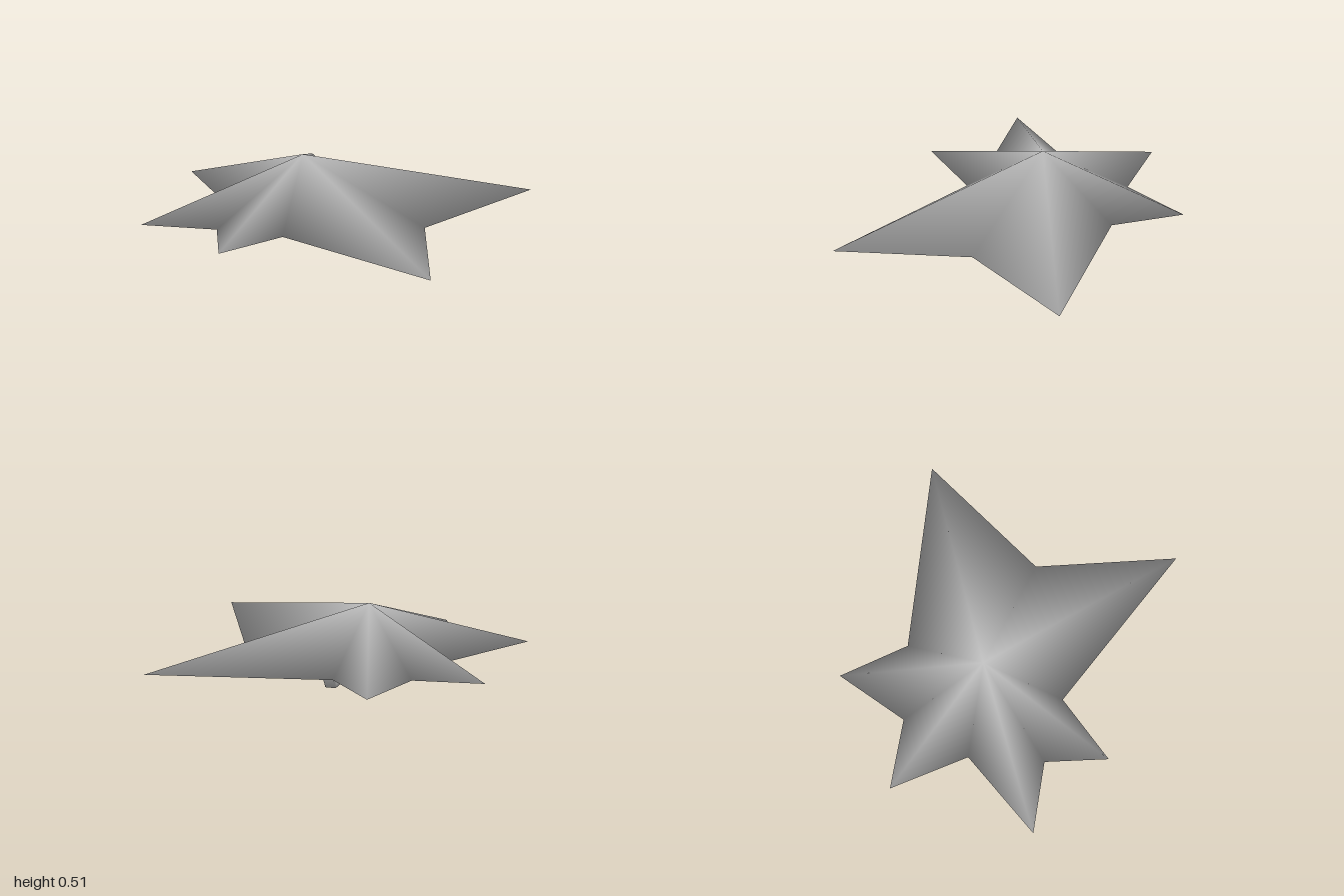
import * as THREE from 'three';

// Smooth normals, each face weighted by its angle at the corner
function smoothGeometry(points, faces) {
  const p = points.map((v) => new THREE.Vector3(...v));
  const normals = p.map(() => new THREE.Vector3());
  for (const face of faces) {
    const n = new THREE.Triangle(...face.map((i) => p[i])).getNormal(new THREE.Vector3());
    face.forEach((v, k) => {
      const a = p[face[(k + 1) % 3]].clone().sub(p[v]);
      const b = p[face[(k + 2) % 3]].clone().sub(p[v]);
      normals[v].addScaledVector(n, a.angleTo(b));
    });
  }
  const g = new THREE.BufferGeometry();
  g.setAttribute('position', new THREE.Float32BufferAttribute(points.flat(), 3));
  g.setAttribute('normal', new THREE.Float32BufferAttribute(normals.flatMap((n) => n.normalize().toArray()), 3));
  g.setIndex(faces.flat());
  return g;
}

// Star-shaped shell: an outer peak and a shallower hollow underneath meet at a sharp rim
function shellGeometry() {
  // Rim as [x, z], counter-clockwise from above
  const rim = [[0.63, 0.01], [1, -0.79], [-0.11, -0.535], [-0.43, -0.85], [-0.56, -0.395], [-1, -0.32],
    [-0.65, 0.05], [-0.97, 0.585], [-0.52, 0.49], [-0.37, 0.845], [-0.11, 0.455], [0.97, 0.78]];
  const points = [[-0.17, 0.515, -0.03], [-0.17, 0.385, -0.03], ...rim.map(([x, z]) => [x, 0.172, z])];
  const faces = rim.flatMap((_, i) => {
    const a = 2 + i, b = 2 + (i + 1) % rim.length;
    return [[0, a, b], [1, b, a]];
  });
  return smoothGeometry(points, faces);
}

// Bent grip of rectangular section; each station is outer and inner [z, y], ends sunk in the shell
function handleGeometry() {
  const stations = [
    [[0.28, 0.3], [0.235, 0.3]],
    [[0.085, 0], [0.06, 0.035]],
    [[-0.155, 0], [-0.13, 0.035]],
    [[-0.35, 0.3], [-0.305, 0.3]],
  ];
  const points = stations.flatMap(([[oz, oy], [iz, iy]]) =>
    [[0, oy, oz], [0.065, oy, oz], [0.065, iy, iz], [0, iy, iz]]);
  const faces = [[0, 1, 2], [0, 2, 3], [12, 14, 13], [12, 15, 14]];
  for (let r = 0; r < 12; r += 4) {
    for (let k = 0; k < 4; k++) {
      const a = r + k, b = r + (k + 1) % 4;
      faces.push([a, a + 4, b], [b, a + 4, b + 4]);
    }
  }
  return smoothGeometry(points, faces);
}

export function createModel() {
  const model = new THREE.Group();
  const grey = new THREE.MeshStandardMaterial({ color: 0xc0c0c0 });
  grey.name = 'grey';

  const shell = new THREE.Mesh(shellGeometry(), grey);
  shell.name = 'starShell';
  const handle = new THREE.Mesh(handleGeometry(), grey);
  handle.name = 'handle';
  model.add(shell, handle);
  return model;
}
